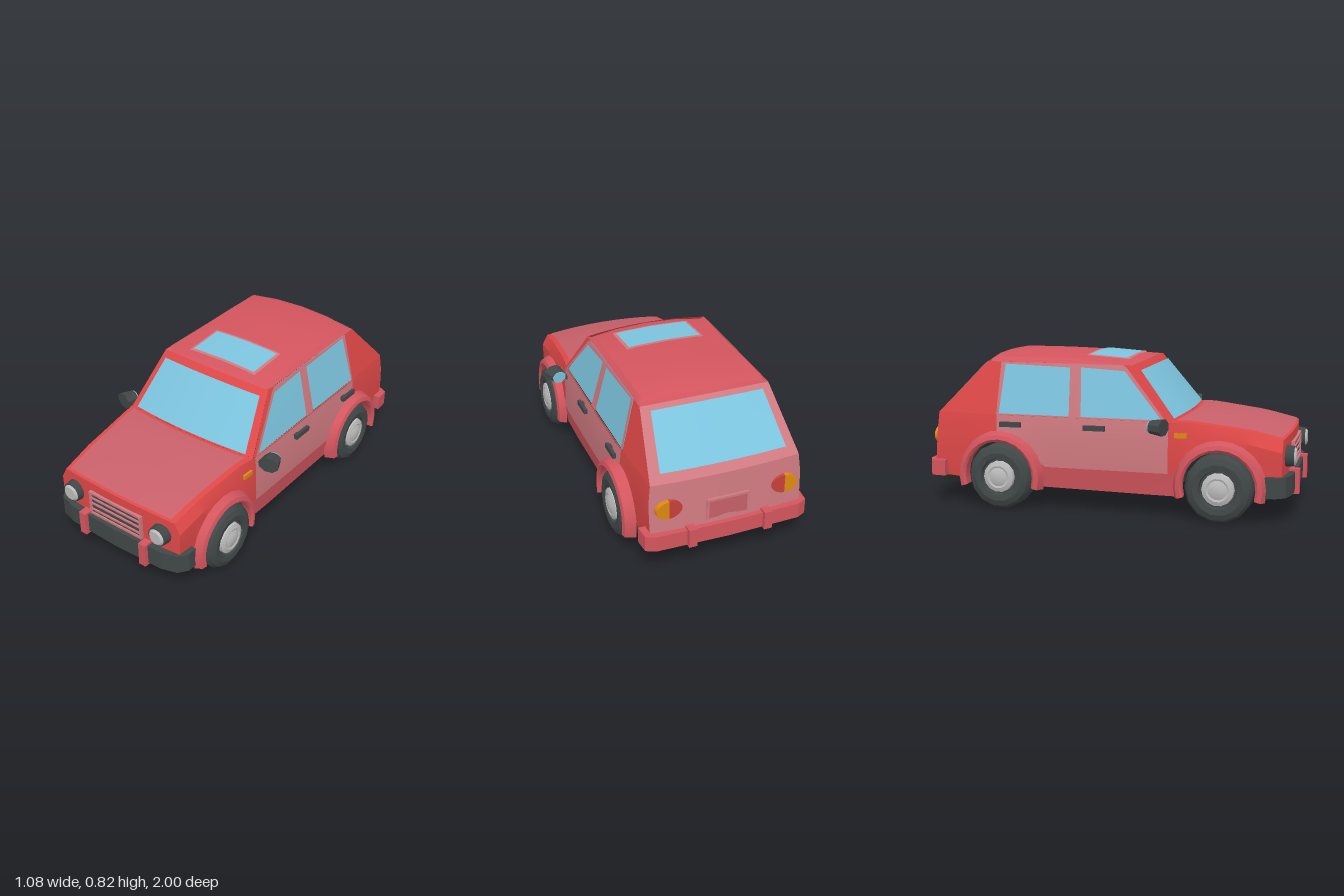
import * as THREE from 'three';
import { toCreasedNormals } from 'three/addons/utils/BufferGeometryUtils.js';

const mat = (name, color) => new THREE.MeshStandardMaterial({ name, color, side: THREE.DoubleSide });
const M = {
  red: mat('body red', 0xe04848), roof: mat('roof red', 0xd4555e), hood: mat('hood red', 0xc8606a),
  pink: mat('panel pink', 0xcf7a80), glass: mat('glass blue', 0x7cc4de), black: mat('trim black', 0x414747),
  under: mat('underside black', 0x232626), silver: mat('silver', 0xbdbdbd),
  orange: mat('signal orange', 0xdf8a10), lamp: mat('tail lamp red', 0xc8403a),
};
const lerp = THREE.MathUtils.lerp;
// Linear lookup in a table of [key, value] with rising keys
function table(t, k) {
  if (k <= t[0][0]) return t[0][1];
  for (let i = 1; i < t.length; i++) {
    if (k <= t[i][0]) return lerp(t[i - 1][1], t[i][1], (k - t[i - 1][0]) / (t[i][0] - t[i - 1][0]));
  }
  return t[t.length - 1][1];
}
const range = (n, a, b) => Array.from({ length: n + 1 }, (_, i) => lerp(a, b, i / n));

// Body shape rules
const WHEELS = [0.62, -0.55], WY = 0.178;
const halfWidth = (y, z) => table([[0.12, 0.4], [0.25, 0.42], [0.4, 0.422], [0.5, 0.41]], y)
  * (z > 0.3 ? 1 - 0.07 * (z - 0.3) / 0.63 : z < -0.5 ? 1 - 0.05 * (-z - 0.5) / 0.42 : 1);
const topY = z => table([[0.365, 0.5], [0.46, 0.5], [0.75, 0.465], [0.93, 0.425]], z);
const topX = z => z > 0.365 ? table([[0.365, 0.405], [0.5, 0.39], [0.93, 0.36]], z) : halfWidth(0.5, z);
const cabinX = (y, z) => lerp(halfWidth(0.5, z), 0.34, (y - 0.5) / 0.275);
const archY = (z, r, base) => WHEELS.reduce((b, c) =>
  Math.abs(z - c) <= r ? Math.max(b, WY + Math.sqrt(Math.max(0, r * r - (z - c) ** 2))) : b, base);
const ROOF_X = [[0, 0.82], [0.17, 0.815], [0.315, 0.8], [0.34, 0.775]];
const ROOF_Z = [[-0.65, -0.04], [-0.63, -0.012], [-0.6, 0], [-0.35, 0], [-0.14, -0.005], [0.11, -0.022], [0.15, -0.035]];

export function createModel() {
  const car = new THREE.Group();
  car.name = 'car';
  const add = (name, geo, material, x = 0, y = 0, z = 0) => {
    const m = new THREE.Mesh(geo, material);
    m.name = name;
    m.position.set(x, y, z);
    car.add(m);
    return m;
  };
  const box = (name, w, h, d, material, x, y, z) => add(name, new THREE.BoxGeometry(w, h, d), material, x, y, z);
  // Surface through rows of points
  const loft = (name, rows, material, crease = 0.45) => {
    const n = rows[0].length, idx = [];
    for (let i = 0; i < rows.length - 1; i++) for (let j = 0; j < n - 1; j++) {
      const a = i * n + j;
      idx.push(a, a + 1, a + n, a + 1, a + n + 1, a + n);
    }
    const g = new THREE.BufferGeometry();
    g.setAttribute('position', new THREE.Float32BufferAttribute(rows.flat(2), 3));
    g.setIndex(idx);
    return add(name, toCreasedNormals(g, crease), material);
  };
  // Part of a curved panel fn(u, v), lifted by off
  const patch = (name, fn, [u0, u1], [v0, v1], material, off = [0, 0, 0], n = 8) =>
    loft(name, range(n, v0, v1).map(v => range(n, u1, u0).map(u => fn(u, v).map((c, k) => c + off[k]))), material);

  // Curved panels across the car, u from -1 to 1
  const bow = u => 1 - u * u;
  const hood = (u, v) => {
    const z = lerp(0.93, 0.365, v);
    return [u * topX(z), topY(z) + 0.012 * bow(u), z + lerp(0.025, 0.04, v) * bow(u)];
  };
  const screen = (u, v) => [u * lerp(0.406, 0.34, v), lerp(0.5, 0.775, v) + 0.013 * bow(u),
    lerp(0.365, 0.15, v) + lerp(0.04, 0.025, v) * bow(u)];
  const hatch = (u, v) => [u * lerp(0.34, 0.39, v), lerp(0.775, 0.5, v) + 0.012 * bow(u) * (1 - v),
    lerp(-0.65, -0.915, v) - 0.02 * bow(u)];
  const tail = (u, v) => {
    const y = lerp(0.5, 0.16, v);
    return [u * halfWidth(y, -0.915), y, -0.915 - 0.08 * (0.5 - y) - 0.02 * bow(u)];
  };
  patch('hoodSurround', hood, [-1, 1], [0, 1], M.red);
  patch('hood', hood, [-0.93, 0.93], [0.02, 0.96], M.hood, [0, 0.005, 0]);
  patch('windshieldFrame', screen, [-1, 1], [0, 1], M.red);
  patch('windshield', screen, [-0.9, 0.9], [0.02, 0.88], M.glass, [0, 0.004, 0.006]);
  patch('hatchFrame', hatch, [-1, 1], [0, 1], M.pink);
  patch('rearWindow', hatch, [-0.86, 0.86], [0.08, 0.87], M.glass, [0, 0.005, -0.005]);
  patch('tailPanel', tail, [-1, 1], [0, 1], M.pink);
  loft('frontPanel', [0.13, 0.28, 0.365, 0.425].map((y, i) => range(8, 1, -1).map(u =>
    [u * (i === 3 ? 0.36 : halfWidth(y, 0.93)), y + (i === 3 ? 0.012 * bow(u) : 0), 0.93 + 0.025 * bow(u)])), M.red);

  // Roof and sunroof
  const xs = [-0.34, -0.315, -0.17, 0, 0.17, 0.315, 0.34];
  const roofY = (x, z) => Math.abs(x) > 0.33 ? 0.775 : table(ROOF_X, Math.abs(x)) + table(ROOF_Z, z);
  loft('roof', ROOF_Z.map(([z]) => xs.map(x => [x, roofY(x, z),
    z + bow(x / 0.34) * (z > 0.1 ? 0.025 : z < -0.62 ? -0.02 : 0)])), M.roof);
  const roofPoint = (x, z) => [x, roofY(x, z), z];
  patch('sunroofFrame', roofPoint, [-0.215, 0.215], [-0.135, 0.1], M.pink, [0, 0.004, 0]);
  patch('sunroof', roofPoint, [-0.2, 0.2], [-0.12, 0.085], M.glass, [0, 0.007, 0]);

  // Stations along the side, denser over the wheels
  const stations = [0.93, 0.87, 0.46, 0.365, 0.355, 0.1, -0.1, -0.3, -0.82, -0.915];
  for (const c of WHEELS) {
    range(12, 0, Math.PI).forEach(a => stations.push(c + 0.2 * Math.cos(a)));
    stations.push(c + 0.2005, c - 0.2005);
  }
  const sides = stations.filter(z => !(z === 0.46)).sort((a, b) => b - a);
  const floorY = z => table([[-0.9, 0.16], [-0.75, 0.145], [-0.35, 0.125], [0.41, 0.115], [0.93, 0.13]], z);
  const windows = [
    [[0.32, 0.507], [0.11, 0.745], [-0.125, 0.757], [-0.11, 0.507]],
    [[-0.175, 0.507], [-0.185, 0.755], [-0.545, 0.765], [-0.565, 0.507]],
  ];
  const toShape = pts => new THREE.Shape(pts.map(p => new THREE.Vector2(...p)));

  for (const s of [1, -1]) {
    const side = s > 0 ? 'left' : 'right';
    // Lower side with wheel openings
    loft(side + 'LowerSide', sides.map(z => {
      const b = archY(z, 0.2, floorY(z)), sh = topY(z) - 0.06;
      return [b, Math.max(b, 0.28), sh, topY(z)].map((y, i) =>
        [s * (i === 3 ? topX(z) : halfWidth(y, z)), y, z < -0.9 ? z - 0.08 * (0.5 - y) : z]);
    }), M.red);
    loft(side + 'Doors', range(24, 0.355, -0.575).map(z => {
      const b = archY(z, 0.225, 0.235);
      return [b, Math.max(b, 0.28), 0.44, 0.5].map(y => [s * (halfWidth(y, z) + 0.005), y, z]);
    }), M.pink);
    loft(side + 'Sill', range(4, 0.4, -0.34).map(z =>
      [floorY(z), 0.18, 0.232].map(y => [s * (halfWidth(y, z) + 0.004), y, z])), M.roof);

    // Flat cabin sides, laid on the leaning cabin wall
    const wall = (name, pts, holes, material, off) => {
      const sh = toShape(pts);
      sh.holes = holes.map(toShape);
      const g = new THREE.ShapeGeometry(sh), p = g.attributes.position;
      for (let i = 0; i < p.count; i++) {
        const z = p.getX(i), y = p.getY(i);
        p.setXYZ(i, s * (cabinX(y, z) + off), y, z);
      }
      g.computeVertexNormals();
      add(side + name, g, material);
    };
    wall('RearQuarter', [[-0.58, 0.5], [-0.57, 0.775], [-0.65, 0.775], [-0.915, 0.5]], [], M.red, 0);
    wall('FrontPillar', [[0.365, 0.5], [0.15, 0.775], [0.09, 0.775], [0.33, 0.5]], [], M.red, 0);
    wall('DoorFrames', [[0.345, 0.5], [0.12, 0.762], [0.1, 0.775], [-0.57, 0.775], [-0.58, 0.5]], windows, M.pink, 0.003);
    wall('SideGlass', [[0.33, 0.5], [0.11, 0.77], [-0.57, 0.772], [-0.578, 0.5]], [], M.glass, -0.004);

    // Wheels, wells and flared arches
    WHEELS.forEach((c, k) => {
      const end = k ? 'Rear' : 'Front', out = k ? 0.474 : 0.458;
      const ring = (a, r, x) => [s * x, WY + r * Math.sin(a), c + r * Math.cos(a)];
      loft(side + end + 'WheelArch', range(14, -0.28, Math.PI + 0.28).map(a =>
        [[0.19, 0.4], [0.187, out - 0.01], [0.2, out], [0.222, out - 0.008], [0.24, 0.412]].map(q => ring(a, ...q))), M.roof);
      loft(side + end + 'WheelWell', range(12, 0, Math.PI).map(a => [ring(a, 0.2, 0.28), ring(a, 0.2, 0.42)]), M.black);
      const turned = (name, pts, material, n) => {
        const g = new THREE.LatheGeometry(pts.map(p => new THREE.Vector2(...p)), n).rotateZ(-s * Math.PI / 2);
        add(side + end + name, toCreasedNormals(g, 0.45), material, s * 0.385, WY - 0.002, c);
      };
      turned('Tire', [[0, -0.07], [0.1, -0.07], [0.13, -0.085], [0.16, -0.072], [0.176, -0.045], [0.176, 0.045],
        [0.16, 0.072], [0.13, 0.085], [0.1, 0.08], [0.095, 0.06], [0, 0.06]], M.black, 14);
      turned('Hubcap', [[0.085, 0.058], [0.082, 0.08], [0.06, 0.088], [0.05, 0.084], [0.03, 0.092], [0, 0.094]], M.silver, 14);
    });

    // Door handles and side signal
    for (const z of [-0.03, -0.49]) {
      box(side + 'DoorHandle', 0.018, 0.026, 0.115, M.black, s * 0.438, 0.455, z);
      box(side + 'HandleMount', 0.03, 0.02, 0.03, M.black, s * 0.425, 0.453, z + 0.035);
    }
    box(side + 'SideSignal', 0.02, 0.024, 0.065, M.orange, s * 0.412, 0.434, 0.42);

    // Door mirror
    const housing = new THREE.CylinderGeometry(0.048, 0.062, 0.07, 8).rotateY(Math.PI / 8).rotateX(-Math.PI / 2)
      .scale(0.9, 0.72, 1);
    add(side + 'MirrorHousing', toCreasedNormals(housing, 0.3), M.black, s * 0.482, 0.484, 0.315).rotation.y = s * 0.25;
    const face = new THREE.CylinderGeometry(0.046, 0.046, 0.006, 8).rotateY(Math.PI / 8).rotateX(Math.PI / 2).scale(0.9, 0.72, 1);
    add(side + 'MirrorGlass', face, M.glass, s * 0.473, 0.484, 0.278).rotation.y = s * 0.25;
    box(side + 'MirrorArm', 0.07, 0.022, 0.03, M.black, s * 0.425, 0.46, 0.32).rotation.z = s * 0.35;

    // Headlight
    const disc = (r1, r2, d) => new THREE.CylinderGeometry(r1, r2, d, 16).rotateX(Math.PI / 2);
    add(side + 'HeadlightRim', disc(0.052, 0.058, 0.05), M.black, s * 0.285, 0.335, 0.955);
    add(side + 'HeadlightLens', disc(0.036, 0.048, 0.012), M.silver, s * 0.285, 0.335, 0.984);

    // Tail light, orange outside and red inside
    [['TailSignal', 0, M.orange], ['TailLamp', Math.PI, M.lamp]].forEach(([n, a, m]) => {
      const g = new THREE.CylinderGeometry(0.068, 0.068, 0.028, 16, 1, false, s > 0 ? a : Math.PI - a, Math.PI);
      add(side + n, g.rotateX(Math.PI / 2).scale(1, 0.72, 1), m, s * 0.305, 0.365, -0.937).rotation.y = s * 0.06;
    });

    // Bumper guards
    box(side + 'FrontBumperGuard', 0.042, 0.13, 0.06, M.roof, s * 0.2, 0.19, 0.97);
    box(side + 'RearBumperGuard', 0.042, 0.1, 0.06, M.roof, s * 0.2, 0.205, -0.97);
  }

  // Parts cut from a mirrored plan outline [x, z]
  const plan = (name, pts, top, h, material) => {
    const loop = [...pts, ...pts.filter(p => p[0] > 0).reverse().map(([x, z]) => [-x, z])];
    const g = new THREE.ExtrudeGeometry(toShape(loop), { depth: h, bevelEnabled: false }).rotateX(Math.PI / 2);
    add(name, g, material, 0, top, 0);
  };
  plan('frontBumper', [[0, 0.985], [0.3, 0.975], [0.385, 0.95], [0.42, 0.9], [0.42, 0.845], [0.36, 0.845], [0.35, 0.9]],
    0.243, 0.105, M.black);
  plan('rearBumper', [[0, -0.983], [0.38, -0.973], [0.428, -0.95], [0.435, -0.87], [0.38, -0.87], [0.37, -0.9]],
    0.242, 0.084, M.roof);
  plan('chassis', [[0, 0.93], [0.36, 0.9], [0.36, 0.82], [0.285, 0.82], [0.285, 0.42], [0.395, 0.42], [0.395, -0.35],
    [0.285, -0.35], [0.285, -0.75], [0.37, -0.75], [0.37, -0.91]], 0.37, 0.25, M.under);

  // Grille
  box('grilleBack', 0.32, 0.125, 0.02, M.black, 0, 0.32, 0.949);
  for (const y of [0.257, 0.383]) box('grilleFrame', 0.344, 0.012, 0.03, M.pink, 0, y, 0.952);
  for (const x of [-0.166, 0.166]) box('grilleFrame', 0.012, 0.138, 0.03, M.pink, x, 0.32, 0.952);
  for (const y of [0.284, 0.32, 0.352]) box('grilleBar', 0.32, 0.01, 0.024, M.pink, 0, y, 0.954);

  // Number plate recess
  box('plateRecess', 0.2, 0.1, 0.008, M.hood, 0, 0.315, -0.949);
  box('plateLip', 0.22, 0.012, 0.02, M.pink, 0, 0.37, -0.948);
  for (const x of [-0.106, 0.106]) box('plateSide', 0.012, 0.11, 0.016, M.pink, x, 0.315, -0.948);
  return car;
}
